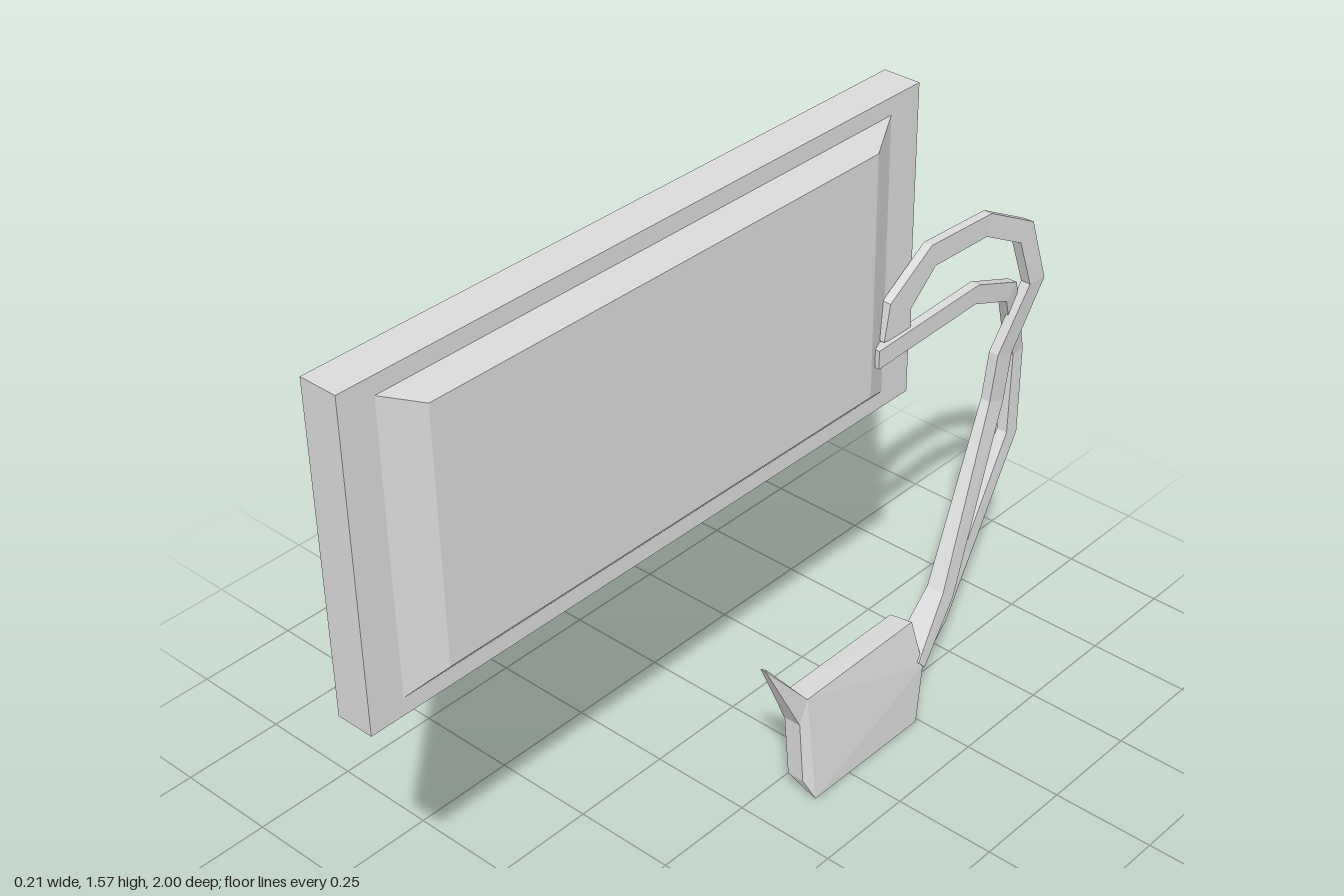
import * as THREE from 'three';
import { ConvexGeometry } from 'three/addons/geometries/ConvexGeometry.js';

const grey = new THREE.MeshStandardMaterial({ color: 0xdcdcdc });
grey.name = 'plain grey';

function mesh(name, geometry) {
  const m = new THREE.Mesh(geometry, grey);
  m.name = name;
  return m;
}

const hull = (points) => new ConvexGeometry(points.map((p) => new THREE.Vector3(...p)));

// Four corners of a rectangle in the plane x
const rect = (x, y0, y1, z0, z1) => [[x, y0, z0], [x, y0, z1], [x, y1, z1], [x, y1, z0]];

// Rectangular cable through points [x, y, z, width, thickness], mitred in the y-z plane
function cable(points) {
  const n = points.length;
  const dirs = points.slice(1).map((p, i) =>
    new THREE.Vector2(p[2] - points[i][2], p[1] - points[i][1]).normalize());
  const rings = points.map(([x, y, z, w, thickness], i) => {
    const a = dirs[Math.max(i - 1, 0)], b = dirs[Math.min(i, n - 2)];
    const t = a.clone().add(b).normalize();
    const half = w / 2 / Math.max(0.7, t.dot(a));
    const oz = -t.y * half, oy = t.x * half, h = thickness / 2;
    return [[x - h, y - oy, z - oz], [x + h, y - oy, z - oz], [x + h, y + oy, z + oz], [x - h, y + oy, z + oz]];
  });
  const pos = [];
  const quad = (a, b, c, d) => pos.push(...a, ...b, ...c, ...a, ...c, ...d);
  for (let i = 0; i < n - 1; i++) {
    for (let k = 0; k < 4; k++) {
      const j = (k + 1) % 4;
      quad(rings[i][k], rings[i][j], rings[i + 1][j], rings[i + 1][k]);
    }
  }
  const start = rings[0], end = rings[n - 1];
  quad(start[3], start[2], start[1], start[0]);
  quad(end[0], end[1], end[2], end[3]);
  const g = new THREE.BufferGeometry();
  g.setAttribute('position', new THREE.Float32BufferAttribute(pos, 3));
  g.computeVertexNormals();
  return g;
}

export function createModel() {
  const group = new THREE.Group();
  group.name = 'panelWithCables';

  // Surrounding frame, open through the middle
  const outline = new THREE.Shape([[-1, 0.83], [0.555, 0.83], [0.555, 1.567], [-1, 1.567]]
    .map((p) => new THREE.Vector2(...p)));
  outline.holes.push(new THREE.Path([[-0.917, 0.87], [-0.917, 1.527], [0.467, 1.527], [0.467, 0.87]]
    .map((p) => new THREE.Vector2(...p))));
  const frame = new THREE.ExtrudeGeometry(outline, { depth: 0.089, bevelEnabled: false });
  frame.rotateY(Math.PI / 2).translate(-0.103, 0, 0);
  group.add(mesh('panelFrame', frame));

  // Raised centre with bevelled sides; its back is the floor of the recess
  group.add(mesh('raisedPanel', hull([
    ...rect(-0.035, 0.87, 1.527, -0.467, 0.917),
    ...rect(-0.014, 0.87, 1.527, -0.467, 0.917),
    ...rect(0.022, 0.91, 1.485, -0.385, 0.83),
  ])));

  // Two cables looping from the panel to the plug, widening where they meet it
  group.add(mesh('upperCable', cable([
    [-0.001, 1.01, -0.485, 0.09, 0.022], [-0.001, 1.08, -0.493, 0.075, 0.022],
    [-0.001, 1.157, -0.6, 0.055, 0.022], [0.002, 1.152, -0.79, 0.052, 0.022],
    [0.007, 1.08, -0.925, 0.052, 0.025], [0.012, 0.94, -0.97, 0.05, 0.025],
    [-0.003, 0.78, -0.885, 0.055, 0.025], [-0.007, 0.66, -0.87, 0.055, 0.025],
    [0.048, 0.27, -0.635, 0.05, 0.046], [0.062, 0.155, -0.508, 0.035, 0.076],
  ])));
  group.add(mesh('lowerCable', cable([
    [0.011, 0.99, -0.41, 0.045, 0.022], [0.002, 0.992, -0.76, 0.045, 0.022],
    [-0.006, 0.935, -0.9, 0.045, 0.024], [-0.035, 0.73, -0.982, 0.036, 0.025],
    [-0.027, 0.52, -0.965, 0.04, 0.028], [-0.01, 0.28, -0.79, 0.038, 0.035],
    [0.024, 0.185, -0.66, 0.033, 0.046], [0.06, 0.15, -0.508, 0.025, 0.072],
  ])));

  // Leaning plug body with ridged ends; the cables enter at the back ridge
  group.add(mesh('plug', hull([
    [0.103, 0, -0.132], [0.103, 0, -0.492], [0.076, 0.272, -0.13], [0.076, 0.275, -0.495],
    [0.037, 0.05, -0.114], [0.037, 0.05, -0.5], [0.014, 0.265, -0.13], [0.014, 0.265, -0.495],
    [0.08, 0.05, -0.114], [0.072, 0.21, -0.11], [0.028, 0.21, -0.11],
    [0.098, 0.15, -0.515], [0.025, 0.15, -0.515],
  ])));

  // Slanted spike on the front end of the plug
  group.add(mesh('spike', hull([
    [0.028, 0.21, -0.109], [0.073, 0.21, -0.109], [0.02, 0.266, -0.13], [0.076, 0.272, -0.13],
    [0.046, 0.415, -0.008], [0.06, 0.415, -0.008], [0.054, 0.41, -0.018],
  ])));

  return group;
}
